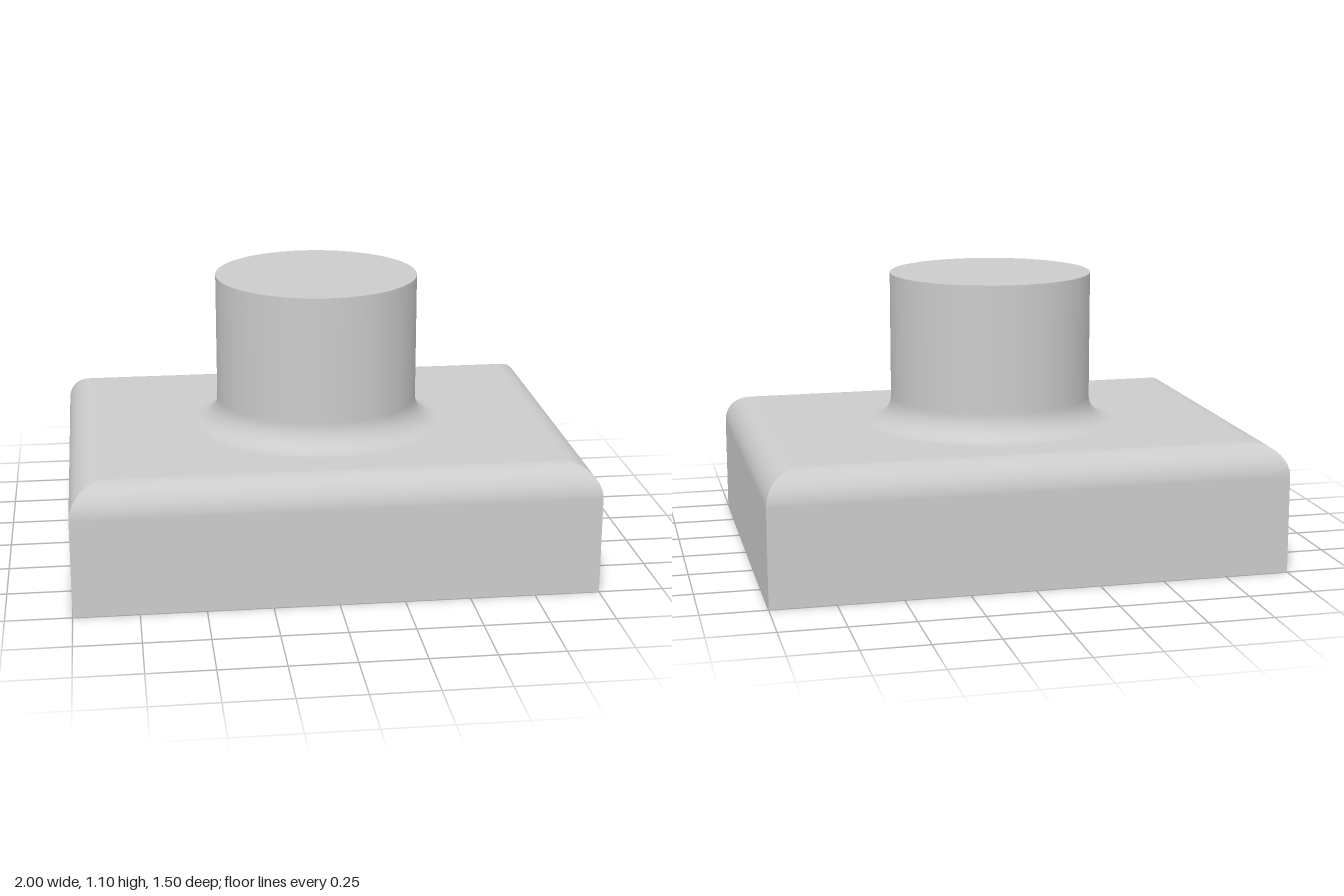
import * as THREE from 'three';

const W = 1, D = 0.75, H = 0.5;      // base half width, half depth, height
const EDGE = 0.12;                   // rounding of the base's top edges
const R = 0.4, TOP = 1.1, FILLET = 0.1; // boss radius, top height, foot fillet
const SEG = 16, ROUND = 96;

const material = new THREE.MeshStandardMaterial({ color: 0xcccccc });

function add(group, name, geometry) {
  const mesh = new THREE.Mesh(geometry, material);
  mesh.name = name;
  group.add(mesh);
  return mesh;
}

// One wall facing +z with a rounded top edge, mitred at both ends
function wallGeometry(halfWidth, halfDepth) {
  const pos = [], norm = [], index = [];
  const row = (inset, y, a) => {
    for (const s of [-1, 1]) {
      pos.push(s * (halfWidth - inset), y, halfDepth - inset);
      norm.push(0, Math.sin(a), Math.cos(a));
    }
  };
  row(0, 0, 0);
  for (let i = 0; i <= SEG; i++) {
    const a = (i / SEG) * Math.PI / 2;
    row(EDGE * (1 - Math.cos(a)), H - EDGE + EDGE * Math.sin(a), a);
  }
  for (let i = 0; i <= SEG; i++) {
    const k = i * 2;
    index.push(k, k + 1, k + 3, k, k + 3, k + 2);
  }
  const g = new THREE.BufferGeometry();
  g.setAttribute('position', new THREE.Float32BufferAttribute(pos, 3));
  g.setAttribute('normal', new THREE.Float32BufferAttribute(norm, 3));
  g.setIndex(index);
  return g;
}

export function createModel() {
  const model = new THREE.Group();
  model.name = 'baseWithBoss';

  // Base block: four walls, underside and a top with an opening for the boss
  const base = new THREE.Group();
  base.name = 'base';
  model.add(base);
  ['frontWall', 'leftWall', 'backWall', 'rightWall'].forEach((name, i) => {
    const g = i % 2 ? wallGeometry(D, W) : wallGeometry(W, D);
    add(base, name, g.rotateY(i * Math.PI / 2));
  });
  add(base, 'underside', new THREE.PlaneGeometry(2 * W, 2 * D).rotateX(Math.PI / 2));

  const x = W - EDGE, z = D - EDGE;
  const top = new THREE.Shape([[-x, -z], [x, -z], [x, z], [-x, z]].map(p => new THREE.Vector2(...p)));
  top.holes.push(new THREE.Path().absarc(0, 0, R + FILLET, 0, Math.PI * 2, true));
  add(base, 'topFace', new THREE.ShapeGeometry(top, ROUND / 2).rotateX(-Math.PI / 2)).position.y = H;

  // Round boss with a concave fillet at its foot
  const boss = new THREE.Group();
  boss.name = 'boss';
  model.add(boss);
  const profile = [];
  for (let i = 0; i <= SEG; i++) {
    const a = (i / SEG) * Math.PI / 2;
    profile.push(new THREE.Vector2(R + FILLET * (1 - Math.sin(a)), H + FILLET * (1 - Math.cos(a))));
  }
  profile.push(new THREE.Vector2(R, H + FILLET + 0.01), new THREE.Vector2(R, TOP));
  add(boss, 'bossWall', new THREE.LatheGeometry(profile, ROUND));
  add(boss, 'bossTop', new THREE.CircleGeometry(R, ROUND).rotateX(-Math.PI / 2)).position.y = TOP;

  return model;
}
